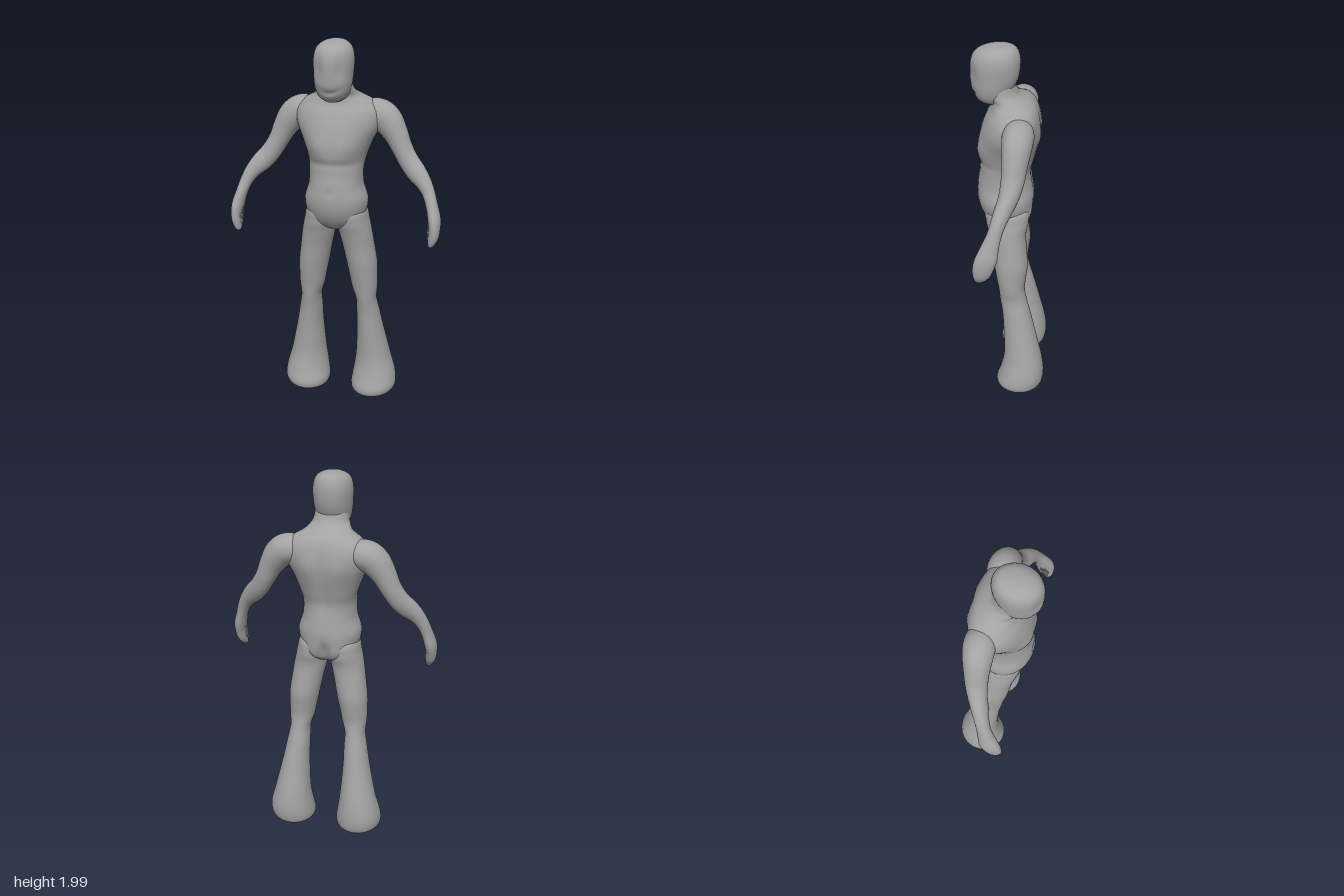
import * as THREE from 'three';

const SIDES = 40, STEPS = 6;

// smooth curve through the section values
const spline = (a, b, c, d, t) =>
  b + 0.5 * t * (c - a + t * (2 * a - 5 * b + 4 * c - d + t * (3 * (b - c) + d - a)));

const bump = (d, size) => Math.exp(-(d * d) / (size * size));

// skin over sections [x, y, z, half width, front depth, back depth, tilt], listed from bottom to top
function loft(rows, mould) {
  const pos = [], index = [], last = rows.length - 1;
  const at = i => rows[Math.min(Math.max(i, 0), last)];
  const rings = last * STEPS;
  for (let r = 0; r <= rings; r++) {
    const i = Math.min(Math.floor(r / STEPS), last - 1), t = r / STEPS - i;
    const [x, y, z, w, f, b, tilt] = at(i).map((v, k) => spline(at(i - 1)[k], v, at(i + 1)[k], at(i + 2)[k], t));
    for (let j = 0; j < SIDES; j++) {
      const a = j / SIDES * Math.PI * 2, c = Math.cos(a) * Math.max(w, 0), s = Math.sin(a);
      const p = new THREE.Vector3(x + c * Math.cos(tilt), y + c * Math.sin(tilt), z + s * Math.max(s > 0 ? f : b, 0));
      if (mould) mould(p, s);
      pos.push(p.x, p.y, p.z);
      if (r < rings) {
        const k = (j + 1) % SIDES, lo = r * SIDES, hi = lo + SIDES;
        index.push(lo + j, hi + j, lo + k, lo + k, hi + j, hi + k);
      }
    }
  }
  const g = new THREE.BufferGeometry();
  g.setAttribute('position', new THREE.Float32BufferAttribute(pos, 3));
  g.setIndex(index);
  g.computeVertexNormals();
  return g;
}

// upright section from its front and back z
const slice = (y, w, front, back, mid = (front + back) / 2, x = 0) => [x, y, mid, w, front - mid, mid - back, 0];

export function createModel() {
  const model = new THREE.Group();
  model.name = 'figure';
  const clay = new THREE.MeshStandardMaterial({ color: 0xa3a3a3 });
  clay.name = 'grey clay';
  const add = (name, geometry, parent = model) => {
    const mesh = new THREE.Mesh(geometry, clay);
    mesh.name = name;
    parent.add(mesh);
    return mesh;
  };

  // torso and neck, with chest, navel, spine and seat moulded in
  const torso = [
    slice(1.0, 0, 0.04, -0.03), slice(1.005, 0.05, 0.08, -0.06), slice(1.04, 0.14, 0.125, -0.1),
    slice(1.1, 0.16, 0.16, -0.115), slice(1.17, 0.169, 0.175, -0.125), slice(1.25, 0.146, 0.172, -0.118),
    slice(1.33, 0.143, 0.16, -0.11), slice(1.4, 0.155, 0.165, -0.125, 0), slice(1.48, 0.185, 0.163, -0.143, -0.01),
    slice(1.56, 0.222, 0.15, -0.15, -0.03), slice(1.63, 0.23, 0.125, -0.145, -0.05),
    slice(1.68, 0.185, 0.1, -0.13, -0.045), slice(1.715, 0.125, 0.1, -0.1, -0.02),
    slice(1.75, 0.096, 0.12, -0.045), slice(1.8, 0.085, 0.12, -0.02),
  ];
  add('torso', loft(torso, (p, s) => {
    const x = Math.abs(p.x);
    if (s > 0) {
      p.z += s * (0.014 * bump(x - 0.08, 0.06) * bump(p.y - 1.46, 0.06)
        - 0.008 * bump(p.y - 1.375, 0.02)
        - 0.008 * bump(x, 0.015) * bump(p.y - 1.23, 0.025));
    } else {
      p.z -= s * (0.014 * bump(x, 0.025) * bump(p.y - 1.4, 0.2) + 0.03 * bump(x, 0.02) * bump(p.y - 1.06, 0.06));
      p.z += s * 0.012 * bump(x - 0.08, 0.05) * (bump(p.y - 1.55, 0.07) + bump(p.y - 1.08, 0.05));
    }
  }));

  // head with a smooth mask-like face
  const head = [
    slice(1.69, 0, 0.11, 0.09), slice(1.7, 0.045, 0.145, 0.03), slice(1.73, 0.078, 0.175, 0.0),
    slice(1.78, 0.094, 0.195, -0.018), slice(1.84, 0.1, 0.2, -0.04), slice(1.91, 0.102, 0.198, -0.048),
    slice(1.96, 0.09, 0.178, -0.04), slice(1.988, 0.06, 0.13, -0.02), slice(1.998, 0.025, 0.07, 0.01),
    slice(2.0, 0, 0.04, 0.04),
  ];
  add('head', loft(head, (p, s) => {
    if (s <= 0) return;
    const x = Math.abs(p.x);
    p.z -= s * (0.012 * bump(x - 0.055, 0.022) * bump(p.y - 1.86, 0.055)
      + 0.008 * bump(p.y - 1.75 - x * x * 6, 0.012) * bump(x, 0.06));
  }));

  // flared leg: [y, outer x, inner x, front z, back z]
  const leg = [
    [0.012, 0.2, 0.2, -0.06, -0.06], [0.008, 0.27, 0.1, 0.04, -0.15], [0.01, 0.3, 0.075, 0.06, -0.18],
    [0.045, 0.32, 0.066, 0.065, -0.196], [0.11, 0.315, 0.075, 0.045, -0.2], [0.2, 0.29, 0.088, 0.026, -0.188],
    [0.3, 0.267, 0.095, 0.024, -0.165], [0.4, 0.245, 0.1, 0.028, -0.142], [0.5, 0.226, 0.1, 0.035, -0.118],
    [0.58, 0.212, 0.1, 0.047, -0.098], [0.65, 0.217, 0.08, 0.056, -0.086], [0.72, 0.218, 0.066, 0.068, -0.092],
    [0.8, 0.216, 0.05, 0.08, -0.1], [0.9, 0.202, 0.03, 0.092, -0.092], [0.98, 0.19, 0.012, 0.108, -0.088],
    [1.05, 0.175, 0.005, 0.125, -0.1], [1.12, 0.155, 0.02, 0.12, -0.09], [1.15, 0.09, 0.09, 0.02, 0.0],
  ];

  // arm from fingertip to shoulder: [x, y, z, half width, half depth, tilt]
  const arm = [
    [0.518, 0.967, 0.118, 0, 0, 0], [0.522, 0.973, 0.117, 0.014, 0.02, 0], [0.531, 1.01, 0.106, 0.027, 0.042, 0],
    [0.535, 1.06, 0.096, 0.03, 0.053, 0.05], [0.53, 1.11, 0.083, 0.033, 0.056, 0.15],
    [0.514, 1.17, 0.066, 0.031, 0.046, 0.3], [0.492, 1.23, 0.045, 0.034, 0.038, 0.5],
    [0.462, 1.28, 0.026, 0.042, 0.04, 0.7], [0.42, 1.325, 0.005, 0.053, 0.047, 0.8],
    [0.375, 1.375, -0.018, 0.054, 0.052, 0.75], [0.335, 1.44, -0.033, 0.055, 0.058, 0.6],
    [0.3, 1.51, -0.04, 0.064, 0.064, 0.55], [0.255, 1.575, -0.046, 0.078, 0.074, 0.7],
    [0.2, 1.615, -0.05, 0.08, 0.078, 0.95], [0.14, 1.63, -0.05, 0.06, 0.06, 1.2], [0.11, 1.63, -0.05, 0, 0, 1.2],
  ];

  let seed = 7;
  const random = () => (seed = (seed * 16807) % 2147483647) / 2147483647;
  const grain = new THREE.OctahedronGeometry(0.006);

  for (const [side, m] of [['left', 1], ['right', -1]]) {
    add(side + 'Leg', loft(leg.map(([y, o, i, f, b]) => slice(y, (o - i) / 2, f, b, (f + b) / 2, m * (o + i) / 2))));
    add(side + 'Arm', loft(arm.map(([x, y, z, w, d, tilt]) => [m * x, y, z, w, d, d, m * tilt])));

    // rough grip on the palm
    const palm = new THREE.Group();
    palm.name = side + 'PalmGrip';
    model.add(palm);
    for (let i = 0; i < 50; i++) {
      const a = random() * Math.PI * 2, r = Math.sqrt(random());
      const v = Math.sin(a) * r, h = Math.cos(a) * r;
      const y = 1.075 + v * 0.07;
      const bit = add('grain', grain, palm);
      bit.position.set(m * (0.503 + 0.009 * h * h), y, 0.093 - v * 0.018 + h * 0.026);
      bit.rotation.set(random() * 3, random() * 3, 0);
    }
  }
  return model;
}
